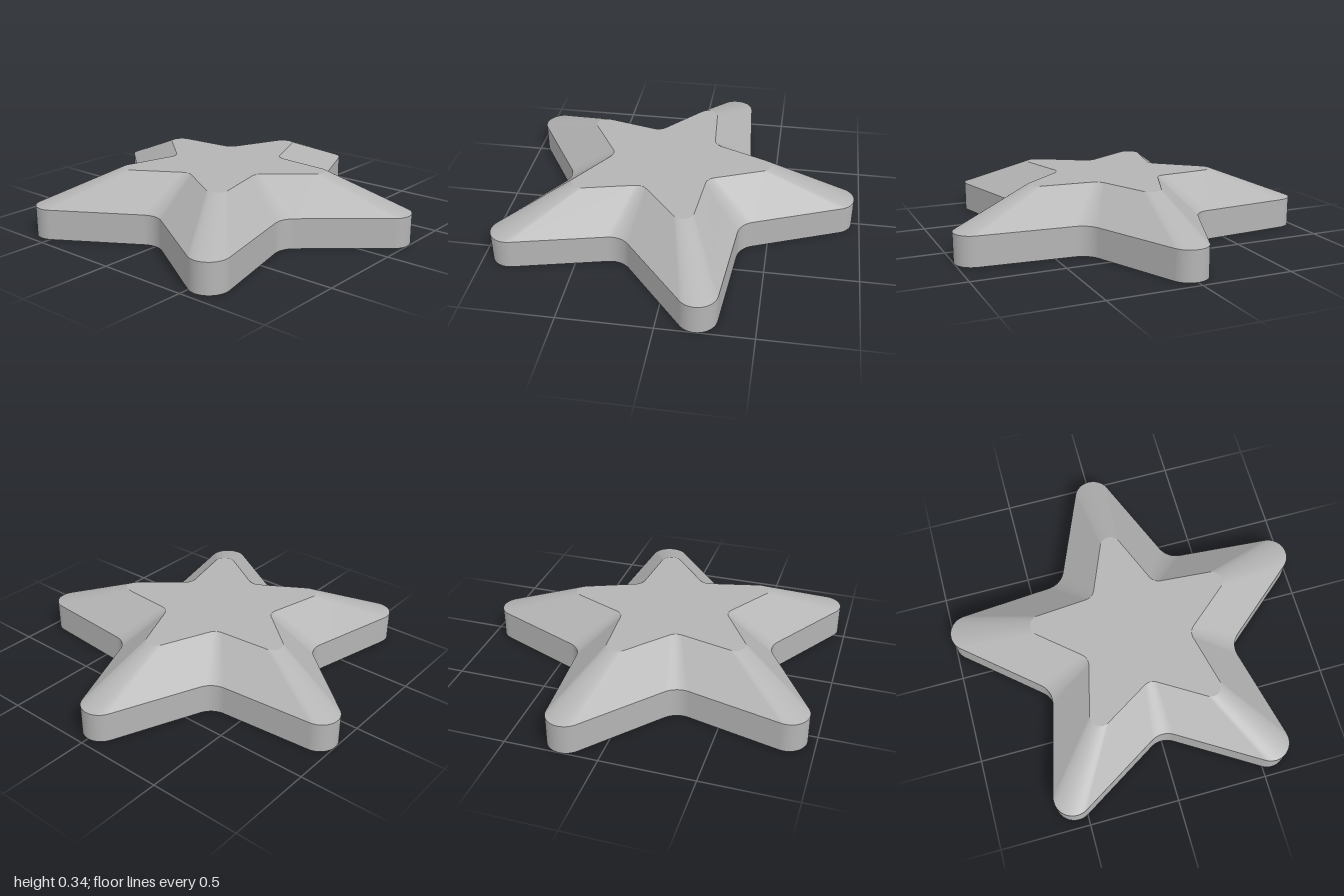
import * as THREE from 'three';

const RAD = Math.PI / 180;
const TIP_DIST = 0.941, TIP_R = 0.105;   // arm tip arcs
const HALF_ANGLE = 22.4 * RAD;           // taper of each arm from its axis
const VALLEY_R = 0.12;                   // fillet between arms
const RIM_Y = 0.165, TOP_Y = 0.342, TOP_SCALE = 0.55;
const RECESS_R = 0.405, RECESS_Y = 0.035;

const polar = (angle, r, cx = 0, cy = 0) =>
  new THREE.Vector2(cx + r * Math.cos(angle), cy + r * Math.sin(angle));

// Rounded five-armed outline, counter-clockwise, first arm along +y
function starOutline() {
  const points = [];
  const arc = (c, r, from, to, n) => {
    for (let i = 0; i <= n; i++) points.push(polar(from + (to - from) * i / n, r, c.x, c.y));
  };
  const normal = Math.PI / 2 - HALF_ANGLE;
  const half = 36 * RAD, tan = Math.tan(HALF_ANGLE);
  const corner = (TIP_R / Math.cos(HALF_ANGLE) + TIP_DIST * tan) /
    (Math.sin(half) + Math.cos(half) * tan);
  const valleyDist = corner + VALLEY_R / Math.sin(half + HALF_ANGLE);
  for (let k = 0; k < 5; k++) {
    const a = (90 + 72 * k) * RAD;
    arc(polar(a, TIP_DIST), TIP_R, a - normal, a + normal, 16);
    arc(polar(a + half, valleyDist), -VALLEY_R, a + normal, a + 2 * half - normal, 10);
  }
  return points;
}

// Closed smooth band between two scaled copies of an outline
function band(points, y0, s0, y1, s1) {
  const n = points.length, pos = [], index = [];
  for (const [y, s] of [[y0, s0], [y1, s1]])
    for (const p of points) pos.push(p.x * s, y, -p.y * s);
  for (let i = 0; i < n; i++) {
    const j = (i + 1) % n;
    index.push(i, j, n + j, i, n + j, n + i);
  }
  const g = new THREE.BufferGeometry();
  g.setAttribute('position', new THREE.Float32BufferAttribute(pos, 3));
  g.setIndex(index);
  g.computeVertexNormals();
  return g;
}

export function createModel() {
  const group = new THREE.Group();
  group.name = 'star';
  const grey = new THREE.MeshStandardMaterial({ color: 0xb4b4b4 });
  grey.name = 'grey';
  const add = (name, geometry) => {
    const mesh = new THREE.Mesh(geometry, grey);
    mesh.name = name;
    mesh.position.z = 0.09;
    group.add(mesh);
  };

  const outline = starOutline();
  const circle = Array.from({ length: 64 }, (_, i) => polar(-i / 64 * Math.PI * 2, RECESS_R));

  // Upright rim, sloping bevel and flat top
  add('rim', band(outline, 0, 1, RIM_Y, 1));
  add('bevel', band(outline, RIM_Y, 1, TOP_Y, TOP_SCALE));
  const top = new THREE.ShapeGeometry(new THREE.Shape(outline));
  top.scale(TOP_SCALE, TOP_SCALE, 1).rotateX(-Math.PI / 2).translate(0, TOP_Y, 0);
  add('topFace', top);

  // Underside with a shallow round recess
  const base = new THREE.Shape(outline);
  base.holes.push(new THREE.Path(circle));
  add('underside', new THREE.ShapeGeometry(base).rotateX(Math.PI / 2).rotateY(Math.PI));
  add('recessWall', band(circle, 0, 1, RECESS_Y, 1));
  add('recessFloor', new THREE.CircleGeometry(RECESS_R, 64)
    .rotateX(Math.PI / 2).translate(0, RECESS_Y, 0));

  return group;
}
